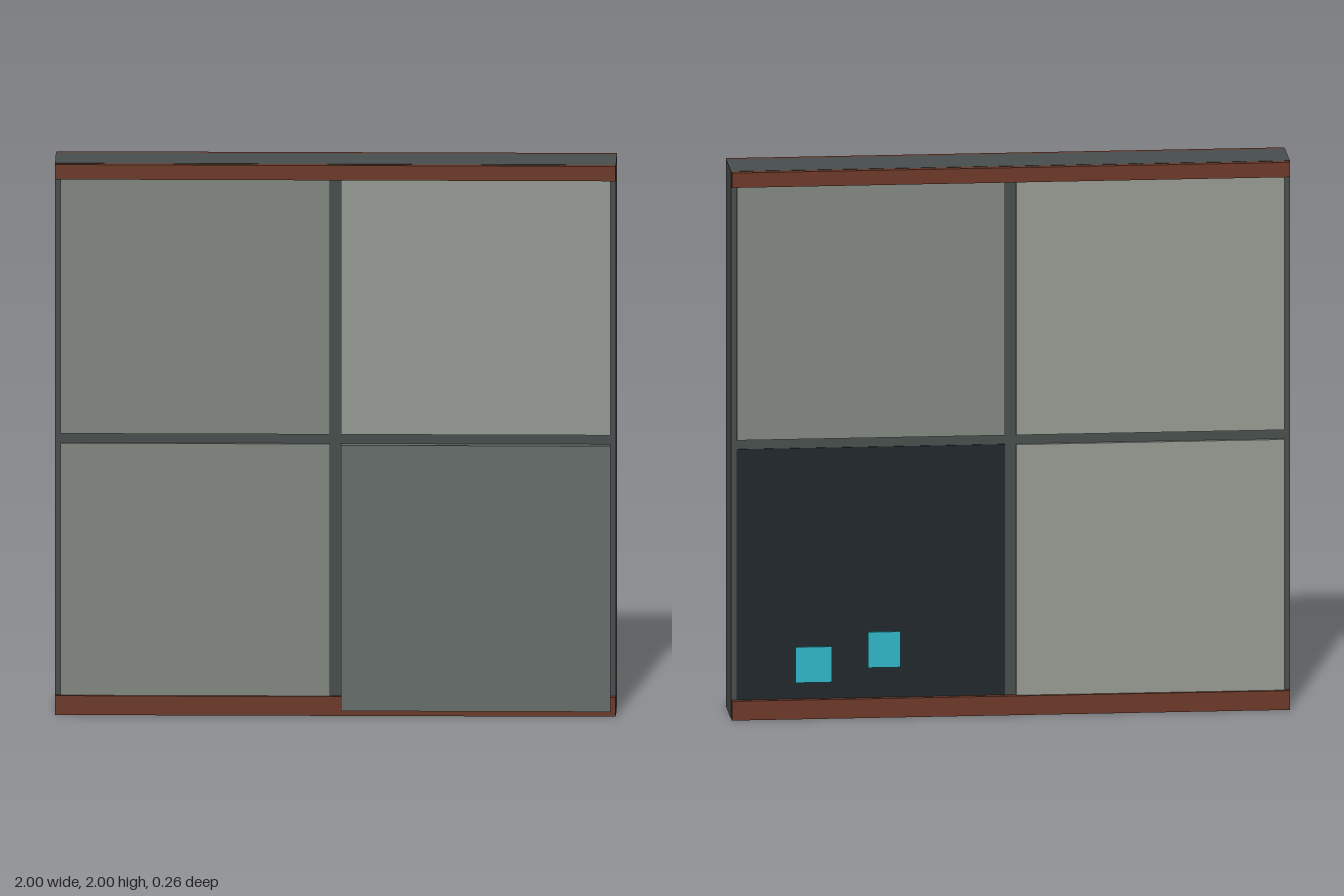
import * as THREE from 'three';

export function createModel() {
  const group = new THREE.Group();
  const materials = {};

  // Box given by its extents along each axis
  function box(name, color, [x0, x1], [y0, y1], [z0, z1]) {
    materials[color] ??= new THREE.MeshStandardMaterial({ color });
    const mesh = new THREE.Mesh(new THREE.BoxGeometry(x1 - x0, y1 - y0, z1 - z0), materials[color]);
    mesh.position.set((x0 + x1) / 2, (y0 + y1) / 2, (z0 + z1) / 2);
    mesh.name = name;
    group.add(mesh);
  }

  const MID = 0x7f857f, LIGHT = 0x939890, SLATE = 0x656c69;
  const CORE = 0x474e4c, RUST = 0x6b3929, DARK = 0x20272b, TEAL = 0x2fb3c4;
  const left = [0.02, 0.98], right = [-0.98, -0.02];
  const upper = [1.02, 1.98], lower = [0.02, 0.985];
  const front = [0.09, 0.107], back = [-0.117, -0.1];

  // Wall slab, a hair larger than the trims at the top and ends
  box('wallCore', CORE, [-1, 1], [0.001, 2], [-0.105, 0.095]);

  // Rusty rails along the top and bottom
  box('topRail', RUST, [-0.999, 0.999], [1.945, 1.999], [-0.129, 0.118]);
  box('bottomRail', RUST, [-0.999, 0.999], [0, 0.07], [-0.129, 0.118]);

  // Front panels, one of them raised
  box('frontPanelUpperRight', MID, right, upper, front);
  box('frontPanelUpperLeft', LIGHT, left, upper, front);
  box('frontPanelLowerRight', MID, right, lower, front);
  box('raisedPanel', SLATE, left, lower, [0.09, 0.13]);

  // Back panels, with a dark service recess
  box('backPanelUpperLeft', MID, left, upper, back);
  box('backPanelUpperRight', LIGHT, right, upper, back);
  box('backPanelLowerRight', LIGHT, right, lower, back);
  box('darkPanel', DARK, left, lower, [-0.108, -0.1]);

  // Glowing indicator plates
  box('indicatorOuter', TEAL, [0.64, 0.77], [0.13, 0.26], [-0.115, -0.1]);
  box('indicatorInner', TEAL, [0.395, 0.51], [0.18, 0.31], [-0.115, -0.1]);

  return group;
}
